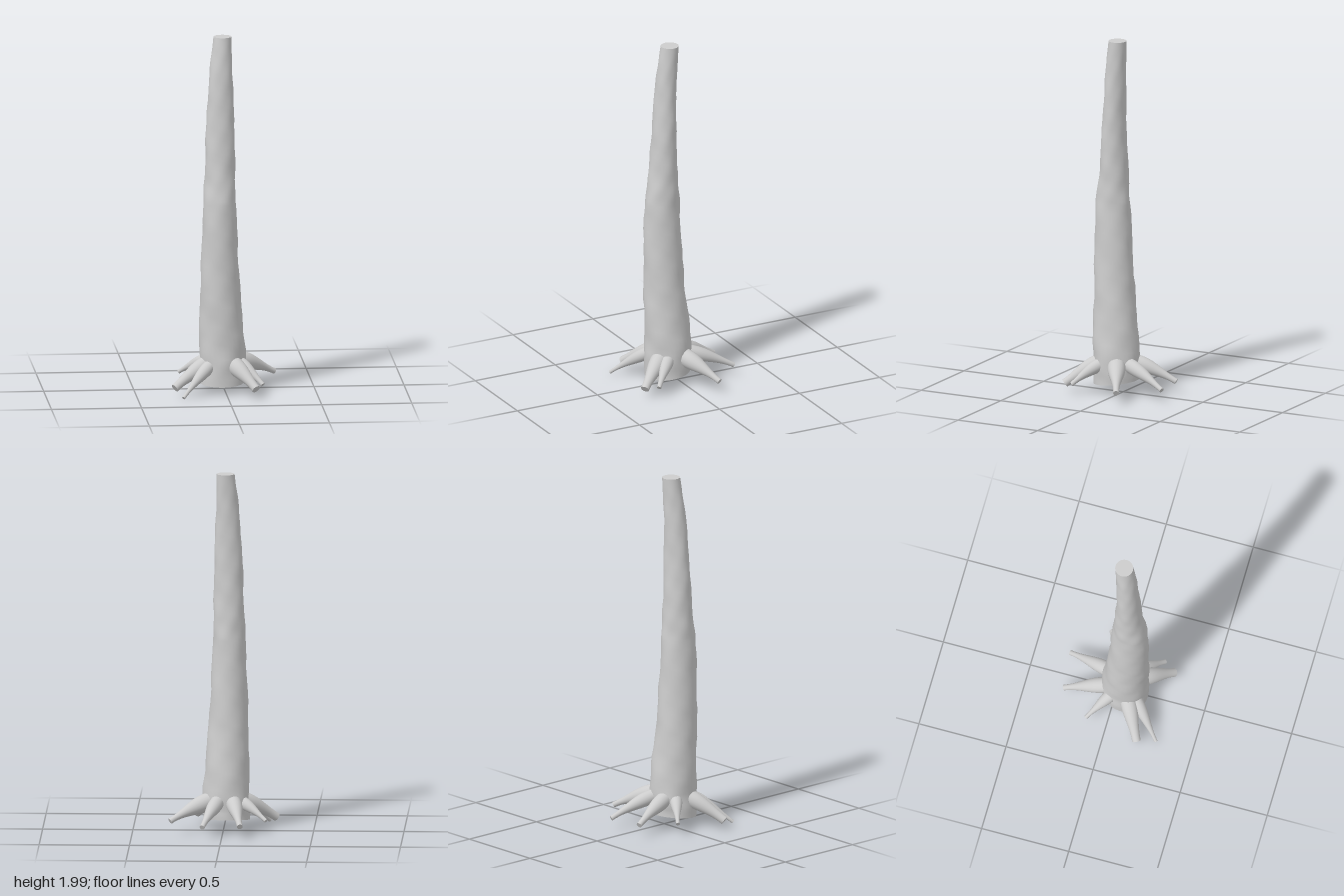
import * as THREE from 'three';

const V = (x, y, z) => new THREE.Vector3(x, y, z);

// Closed skin through anticlockwise rings of points, with separate flat end caps
function loft(rings) {
  const n = rings[0].length, pos = [], idx = [];
  const add = p => pos.push(p.x, p.y, p.z) / 3 - 1;
  rings.forEach(r => r.forEach(add));
  for (let i = 0; i < rings.length - 1; i++) {
    for (let j = 0; j < n; j++) {
      const a = i * n + j, b = i * n + (j + 1) % n;
      idx.push(a, b, a + n, b, b + n, a + n);
    }
  }
  const cap = (ring, atEnd) => {
    const c = add(ring.reduce((s, p) => s.add(p), V(0, 0, 0)).divideScalar(n));
    const ids = ring.map(add);
    ids.forEach((a, j) => {
      const b = ids[(j + 1) % n];
      idx.push(c, ...(atEnd ? [a, b] : [b, a]));
    });
  };
  cap(rings[0], false);
  cap(rings[rings.length - 1], true);
  const g = new THREE.BufferGeometry();
  g.setAttribute('position', new THREE.Float32BufferAttribute(pos, 3));
  g.setIndex(idx);
  g.computeVertexNormals();
  return g;
}

// Trunk outline by height: y, min x, max x, min z, max z
const TRUNK = [
  [0.06, -0.147, 0.112, -0.075, 0.18],
  [0.2, -0.143, 0.115, -0.08, 0.181],
  [0.6, -0.136, 0.083, -0.043, 0.183],
  [1.07, -0.12, 0.06, -0.017, 0.177],
  [1.22, -0.113, 0.056, -0.008, 0.156],
  [1.5, -0.104, 0.053, 0.005, 0.135],
  [1.8, -0.084, 0.042, 0.002, 0.115],
  [2, -0.061, 0.039, -0.008, 0.092],
];

function trunkGeometry() {
  const centre = new THREE.CatmullRomCurve3(TRUNK.map(([y, a, b, c, d]) => V((a + b) / 2, y, (c + d) / 2)));
  const radius = new THREE.CatmullRomCurve3(TRUNK.map(([y, a, b, c, d]) => V((b - a) / 2, y, (d - c) / 2)));
  const rings = [], steps = 56, sides = 32;
  for (let i = 0; i <= steps; i++) {
    const c = centre.getPoint(i / steps), r = radius.getPoint(i / steps), ring = [];
    const rough = 0.022 * Math.min(1, i / 4, (steps - i) / 4);
    for (let j = 0; j < sides; j++) {
      const a = j / sides * Math.PI * 2;
      // Gentle irregular bark swellings
      const k = 1 + rough * (Math.sin(3 * a + c.y * 17) + 0.7 * Math.sin(5 * a - c.y * 29) + 0.5 * Math.sin(2 * a + c.y * 43));
      // The foot is cut at a slight slope
      const tilt = -0.015 * Math.cos(a) * Math.max(0, 1 - i / 4);
      ring.push(V(c.x + r.x * k * Math.sin(a), c.y + tilt, c.z + r.z * k * Math.cos(a)));
    }
    rings.push(ring);
  }
  return loft(rings);
}

// Roots: start x, start z, tip x, tip y, tip z, shoulder radius, tip radius
const ROOTS = [
  [0.04, 0.02, 0.29, 0.075, -0.111, 0.05, 0.016],
  [0.02, -0.02, 0.106, 0.073, -0.298, 0.04, 0.014],
  [-0.05, -0.01, -0.102, 0.075, -0.278, 0.044, 0.016],
  [-0.07, 0.02, -0.24, 0.08, -0.114, 0.035, 0.011],
  [-0.07, 0.07, -0.288, 0.05, 0.19, 0.046, 0.024],
  [-0.06, 0.1, -0.248, 0.014, 0.29, 0.036, 0.01],
  [0.02, 0.1, 0.155, 0.055, 0.284, 0.049, 0.024],
  [0.06, 0.08, 0.198, 0.066, 0.218, 0.036, 0.013],
];

// A root slopes down in a slight arch, swollen at the shoulder and narrow at the tip
function rootGeometry([x, z, tipX, tipY, tipZ, shoulder, tipRadius]) {
  const start = V(x, 0.18, z), tip = V(tipX, tipY, tipZ);
  const arch = start.clone().lerp(tip, 0.5).add(V(0, 0.02, 0));
  const path = new THREE.QuadraticBezierCurve3(start, arch, tip);
  const rings = [], steps = 14, sides = 20;
  for (let i = 0; i <= steps; i++) {
    const t = i / steps, c = path.getPoint(t), dir = path.getTangent(t);
    const r = THREE.MathUtils.lerp(shoulder, tipRadius, THREE.MathUtils.smoothstep(t, 0.25, 0.95));
    const side = V(0, 1, 0).cross(dir).normalize();
    const up = dir.clone().cross(side);
    const ring = [];
    for (let j = 0; j < sides; j++) {
      const a = j / sides * Math.PI * 2;
      ring.push(c.clone().addScaledVector(side, r * Math.cos(a)).addScaledVector(up, r * Math.sin(a)));
    }
    rings.push(ring);
  }
  return loft(rings);
}

export function createModel() {
  const group = new THREE.Group();
  group.name = 'treeTrunk';
  const bark = new THREE.MeshStandardMaterial({ color: 0xcccccc });
  bark.name = 'paleGreyBark';

  const add = (geometry, name) => {
    const mesh = new THREE.Mesh(geometry, bark);
    mesh.name = name;
    group.add(mesh);
  };
  add(trunkGeometry(), 'trunk');
  ROOTS.forEach((root, i) => add(rootGeometry(root), `root${i + 1}`));
  return group;
}
